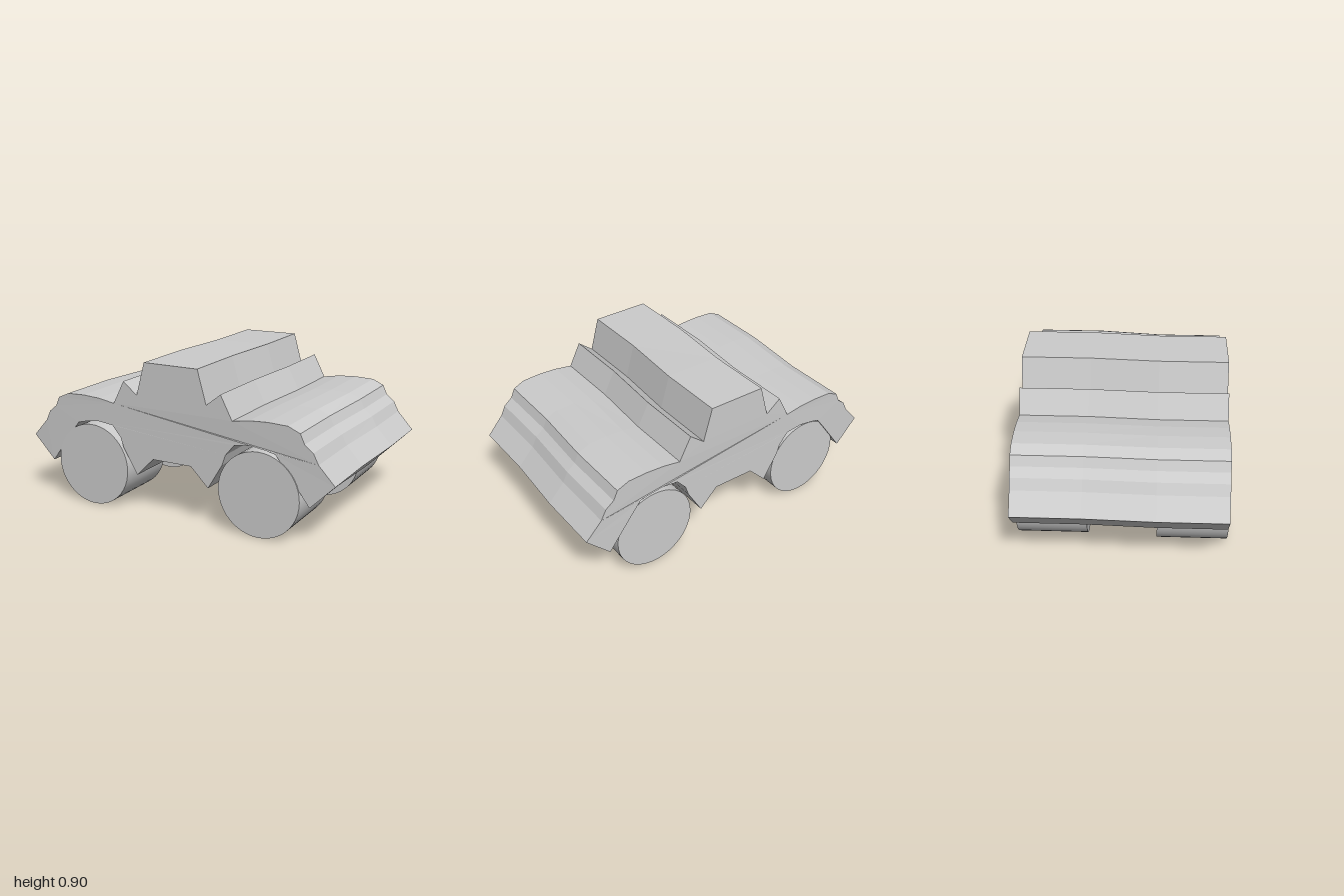
import * as THREE from 'three';

const SHIFT = 0.014; // sideways step between front and rear halves

// Right half of the body outline, roof to belly; mirrored for the other half
const HALF = [
  [0.172, 0.9], [0.226, 0.705], [0.315, 0.776], [0.386, 0.638],
  [0.49, 0.655], [0.6, 0.661], [0.715, 0.656], [0.785, 0.625],
  [0.81, 0.57], [0.86, 0.53], [0.89, 0.47], [0.986, 0.365],
  [0.846, 0.225], [0.7, 0.42], [0.645, 0.49], [0.59, 0.503],
  [0.5, 0.516], [0.4, 0.505], [0.345, 0.44], [0.325, 0.38],
  [0.235, 0.23], [0.125, 0.34],
];

function bodyGeometry() {
  const mirrored = HALF.map(([x, y]) => [-x, y]).reverse();
  const outline = [...HALF, ...mirrored].map(([x, y]) => new THREE.Vector2(x, y));
  const geometry = new THREE.ExtrudeGeometry(new THREE.Shape(outline), {
    depth: 1.19, steps: 3, bevelEnabled: false,
  });
  geometry.translate(0, 0, -0.595);
  const p = geometry.attributes.position;
  for (let i = 0; i < p.count; i++) {
    const x = p.getX(i), y = p.getY(i), z = p.getZ(i);
    const rear = z < 0;
    // Rear half steps sideways and tips slightly
    p.setX(i, x + (rear ? SHIFT : -SHIFT));
    if (rear) p.setY(i, y + 0.011 * x);
    // End faces pull in a little toward the bumper tips
    if (Math.abs(z) > 0.5) p.setZ(i, z - Math.sign(z) * 0.01 * Math.abs(x) ** 4);
  }
  geometry.computeVertexNormals();
  return geometry;
}

export function createModel() {
  const model = new THREE.Group();
  const bodyMaterial = new THREE.MeshStandardMaterial({ color: 0xcccccc, flatShading: true });
  const wheelMaterial = new THREE.MeshStandardMaterial({ color: 0xcccccc });

  const body = new THREE.Mesh(bodyGeometry(), bodyMaterial);
  body.name = 'body';
  model.add(body);

  // Four wide wheels, axles along z
  const wheelGeometry = new THREE.CylinderGeometry(0.245, 0.245, 0.395, 48);
  wheelGeometry.rotateX(Math.PI / 2);
  for (const [end, z, shift] of [['front', 0.4, -SHIFT], ['rear', -0.385, SHIFT]]) {
    for (const [side, sign] of [['Left', 1], ['Right', -1]]) {
      const wheel = new THREE.Mesh(wheelGeometry, wheelMaterial);
      wheel.name = `${end}${side}Wheel`;
      wheel.position.set(sign * 0.546 + shift, 0.245, z);
      model.add(wheel);
    }
  }
  return model;
}
